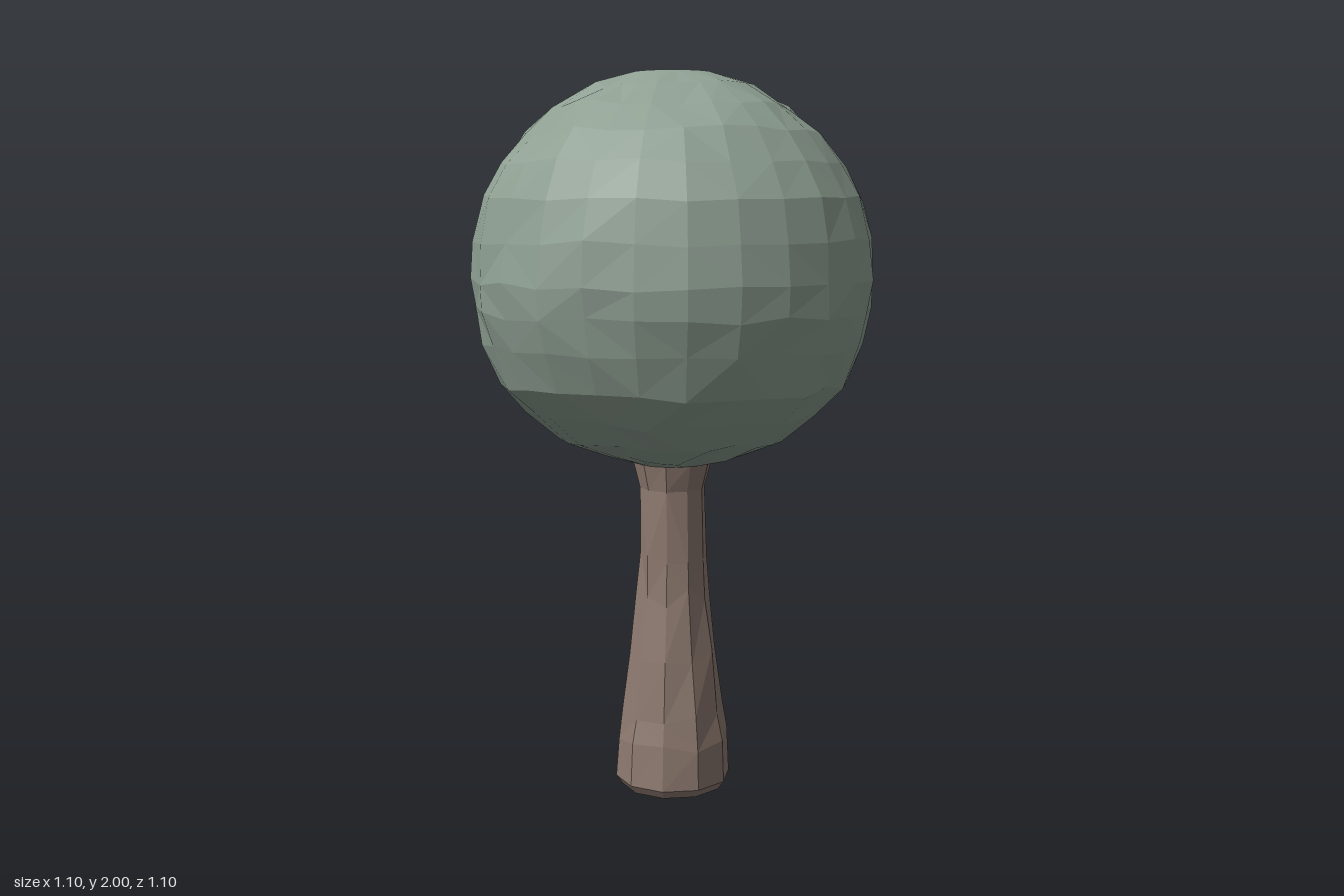
import * as THREE from 'three';

// Small repeatable noise in -1..1 from two integers
function noise(a, b) {
  const s = Math.sin(a * 127.1 + b * 311.7) * 43758.5453;
  return (s - Math.floor(s)) * 2 - 1;
}

// Closed faceted solid of stacked rings; profile is [radius, y] from bottom to top
function ringSolid(profile, sides, place) {
  const pos = [], index = [];
  profile.forEach(([r, y], i) => {
    for (let j = 0; j < sides; j++) {
      pos.push(...place(r, y, (j / sides) * Math.PI * 2, i, j));
    }
  });
  for (let i = 0; i < profile.length - 1; i++) {
    for (let j = 0; j < sides; j++) {
      const k = (j + 1) % sides;
      const a = i * sides + j, b = i * sides + k;
      const c = a + sides, d = b + sides;
      // alternate the diagonal for irregular facets
      if (noise(i, j + 50) > 0) index.push(a, b, d, a, d, c);
      else index.push(a, b, c, b, d, c);
    }
  }
  const last = profile.length - 1;
  const bottom = pos.length / 3, top = bottom + 1;
  pos.push(0, profile[0][1], 0, 0, profile[last][1], 0);
  for (let j = 0; j < sides; j++) {
    const k = (j + 1) % sides;
    index.push(bottom, k, j, top, last * sides + j, last * sides + k);
  }
  const g = new THREE.BufferGeometry();
  g.setAttribute('position', new THREE.Float32BufferAttribute(pos, 3));
  g.setIndex(index);
  g.computeVertexNormals();
  return g;
}

export function createModel() {
  const tree = new THREE.Group();
  tree.name = 'tree';

  const leafGreen = new THREE.MeshStandardMaterial({ color: 0x8fa093, flatShading: true });
  leafGreen.name = 'sage leaf green';
  const barkBrown = new THREE.MeshStandardMaterial({ color: 0x8e7a70, flatShading: true });
  barkBrown.name = 'bark brown';

  // Round crown, slightly fuller on the diagonals, with uneven facets
  const crownProfile = [
    [0.10, 0.93], [0.20, 0.96], [0.31, 1.01], [0.40, 1.08], [0.475, 1.16], [0.515, 1.27],
    [0.54, 1.36], [0.548, 1.44], [0.536, 1.55], [0.513, 1.66], [0.465, 1.75],
    [0.40, 1.83], [0.32, 1.90], [0.22, 1.955], [0.11, 1.995],
  ];
  const crownGeometry = ringSolid(crownProfile, 26, (r, y, a, i, j) => {
    const inner = i > 0 && i < crownProfile.length - 1;
    const wobble = inner ? 0.006 * noise(i, j) : 0;
    const radius = r * (1.005 + 0.012 * Math.sin(2 * a) ** 2) + wobble;
    const height = y + (inner ? 0.01 * noise(i + 20, j) : 0);
    return [Math.sin(a) * radius, height, Math.cos(a) * radius];
  });
  const crown = new THREE.Mesh(crownGeometry, leafGreen);
  crown.name = 'crown';
  tree.add(crown);

  // Carved trunk: broad foot, narrow waist, small flare under the crown
  const trunkProfile = [
    [0.145, 0], [0.163, 0.025], [0.156, 0.14], [0.145, 0.22], [0.122, 0.40],
    [0.102, 0.56], [0.094, 0.68], [0.094, 0.86], [0.112, 0.94], [0.112, 0.97],
  ];
  const trunkGeometry = ringSolid(trunkProfile, 10, (r, y, a, i, j) => {
    const radius = r + (i > 1 && i < 8 ? 0.004 * noise(i + 7, j) : 0);
    const height = y + (i > 1 && i < 7 ? 0.025 * noise(i + 31, j) : 0);
    return [Math.sin(a) * radius, height, Math.cos(a) * radius];
  });
  const trunk = new THREE.Mesh(trunkGeometry, barkBrown);
  trunk.name = 'trunk';
  tree.add(trunk);

  // Small chipped root at the back of the foot
  const root = new THREE.Mesh(new THREE.ConeGeometry(0.035, 0.12, 5), barkBrown);
  root.name = 'rootChip';
  root.position.set(0.02, 0.06, -0.135);
  tree.add(root);

  return tree;
}
